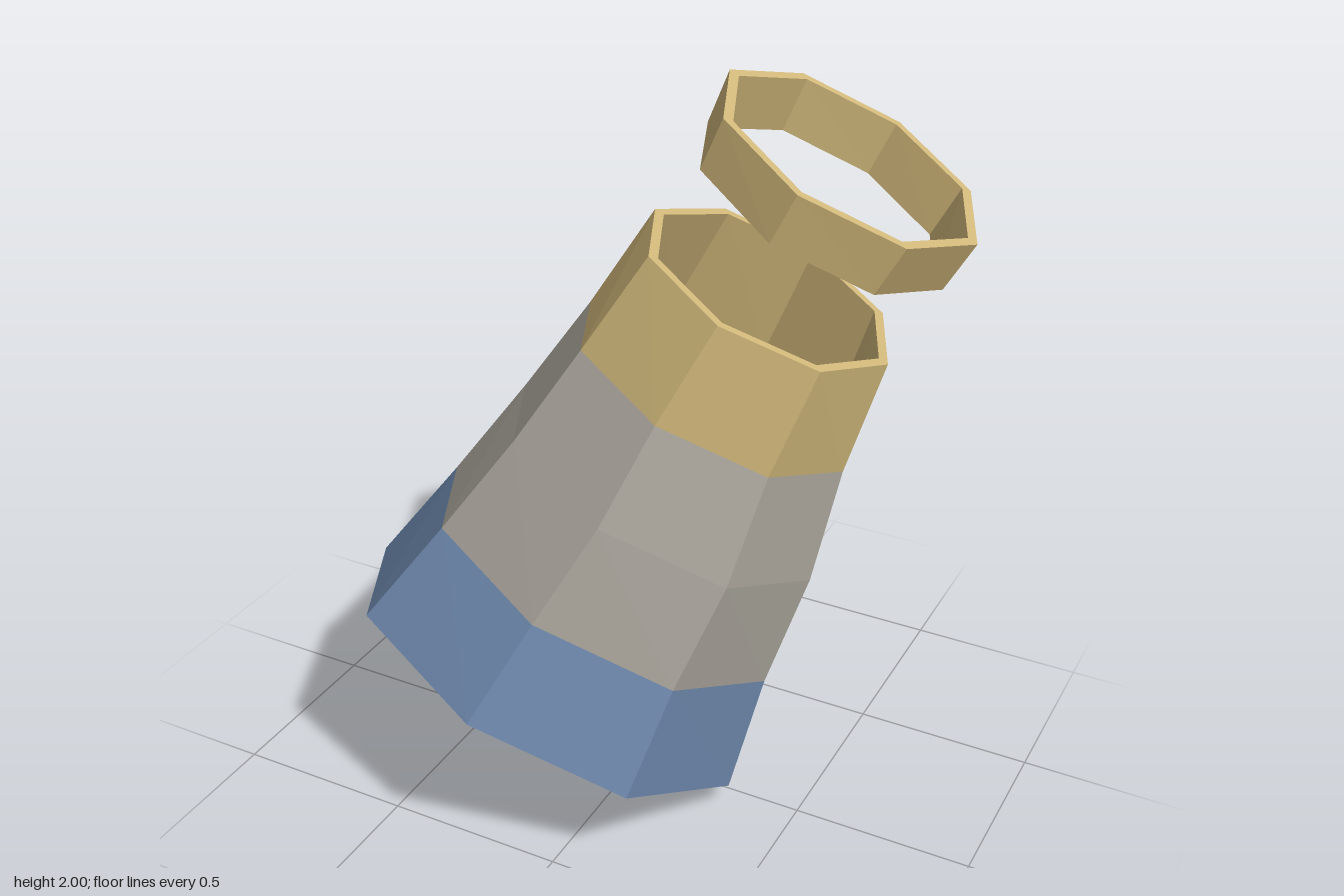
import * as THREE from 'three';

const SIDES = 8;
const WALL = 0.028;

// Tilted octagon: centre c, perpendicular radius vectors u (sideways) and v (forward)
function octagon({ c, u, v }, inset = 0) {
  const U = new THREE.Vector3(...u), V = new THREE.Vector3(...v);
  const k = 1 - inset / U.length();
  return Array.from({ length: SIDES }, (_, i) => {
    const t = (i / SIDES) * Math.PI * 2;
    return new THREE.Vector3(...c)
      .addScaledVector(U, k * Math.cos(t))
      .addScaledVector(V, k * Math.sin(t));
  });
}

// Skins a chain of octagons with flat quads
function skin(loops) {
  const pos = [];
  for (let j = 0; j + 1 < loops.length; j++) {
    for (let i = 0; i < SIDES; i++) {
      const n = (i + 1) % SIDES;
      const a = loops[j][i], b = loops[j][n], c = loops[j + 1][n], d = loops[j + 1][i];
      for (const p of [a, d, c, a, c, b]) pos.push(p.x, p.y, p.z);
    }
  }
  const g = new THREE.BufferGeometry();
  g.setAttribute('position', new THREE.Float32BufferAttribute(pos, 3));
  g.computeVertexNormals();
  return g;
}

export function createModel() {
  const group = new THREE.Group();
  const mat = (name, color) => {
    const m = new THREE.MeshStandardMaterial({ color });
    m.name = name;
    return m;
  };
  const gold = mat('gold', 0xd2b97b);
  const grey = mat('grey', 0xaba69d);
  const blue = mat('blue', 0x6b85a9);

  // Hollow band: inner wall down, bottom rim, outer wall up, top rim
  const band = (name, material, rings, bottomRim, topRim) => {
    const outer = rings.map((r) => octagon(r));
    const inner = rings.map((r) => octagon(r, WALL)).reverse();
    const part = new THREE.Group();
    part.name = name;
    const add = (label, loops) => {
      const m = new THREE.Mesh(skin(loops), material);
      m.name = name + label;
      part.add(m);
    };
    add('Outside', outer);
    add('Inside', inner);
    if (topRim) add('TopRim', [outer.at(-1), inner[0]]);
    if (bottomRim) add('BottomRim', [inner.at(-1), outer[0]]);
    group.add(part);
  };

  // Sleeve cross-sections from the wide lower opening to the narrow upper one
  const s = [
    { c: [-0.235, 0.303, 0.07], u: [0.555, -0.23, 0], v: [0.075, 0.195, 0.567] },
    { c: [-0.115, 0.588, -0.037], u: [0.485, -0.21, 0], v: [0.055, 0.145, 0.505] },
    { c: [0.02, 0.875, -0.12], u: [0.435, -0.19, 0], v: [0.045, 0.11, 0.465] },
    { c: [0.125, 1.155, -0.2], u: [0.375, -0.165, 0], v: [0.03, 0.08, 0.41] },
    { c: [0.252, 1.45, -0.25], u: [0.333, -0.15, 0], v: [0.025, 0.045, 0.37] },
  ];
  band('lowerBand', blue, [s[0], s[1]], true, false);
  band('middleBand', grey, [s[1], s[2], s[3]], false, false);
  band('upperBand', gold, [s[3], s[4]], false, true);

  // Separate ring hovering above the narrow opening
  band('floatingRing', gold, [
    { c: [0.392, 1.7, -0.242], u: [0.322, -0.163, 0], v: [0.02, 0.04, 0.38] },
    { c: [0.453, 1.832, -0.257], u: [0.333, -0.168, 0], v: [0.02, 0.035, 0.387] },
  ], true, true);

  return group;
}
